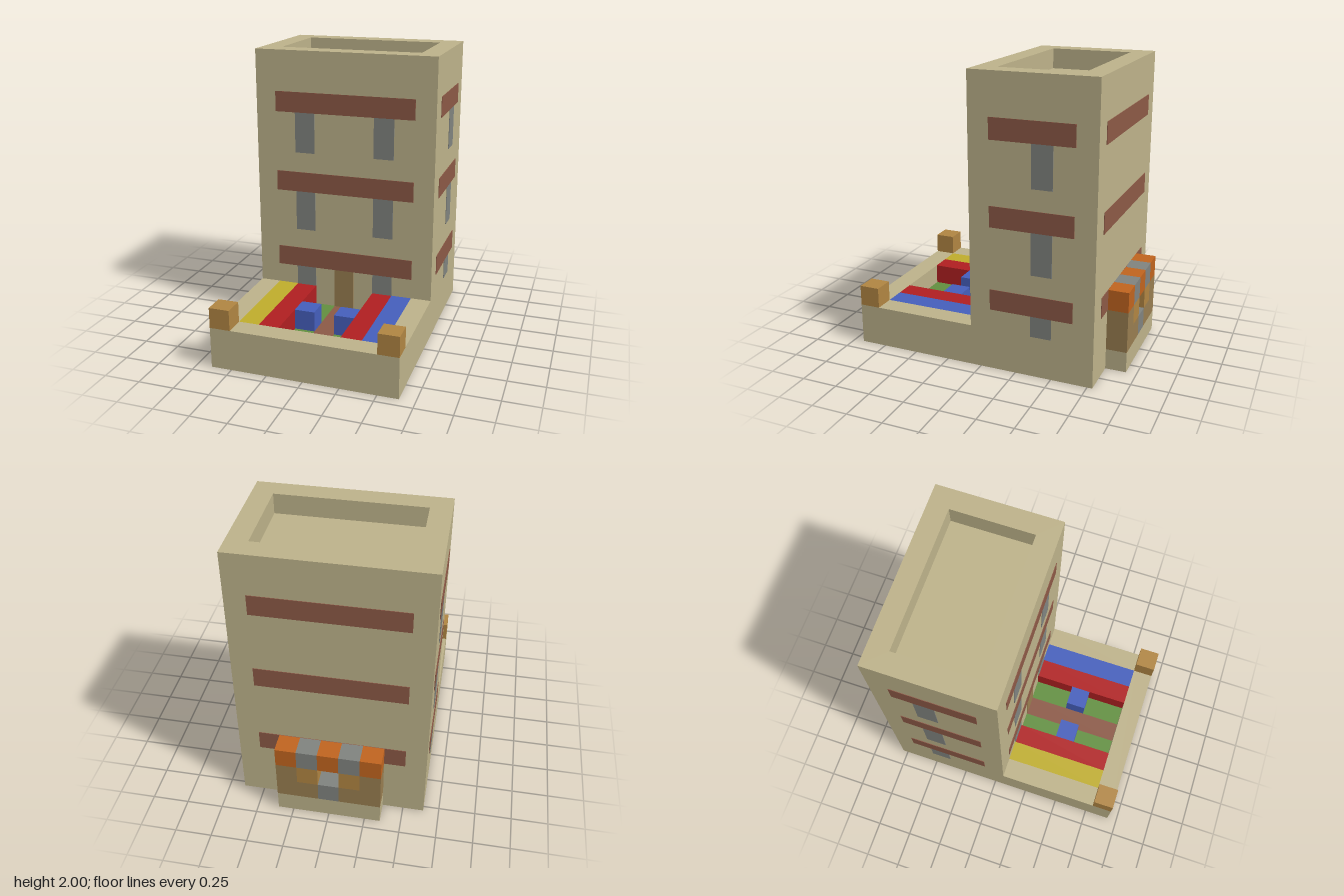
import * as THREE from 'three';

const U = 1 / 7; // one block
const T = 0.004; // thickness of painted plates

const mat = (name, color) => {
  const m = new THREE.MeshStandardMaterial({ color });
  m.name = name;
  return m;
};

export function createModel() {
  const stone = mat('sandstone', 0xbdb28a);
  const brick = mat('redBrown', 0x8c5946);
  const grey = mat('grey', 0x80837f);
  const orange = mat('orange', 0xc0641f);
  const wood = mat('wood', 0x987d50);
  const gold = mat('goldenWood', 0xb08542);
  const yellow = mat('yellow', 0xbfad2c);
  const red = mat('red', 0xb01f21);
  const blue = mat('blue', 0x455fbc);
  const green = mat('green', 0x628f40);

  const model = new THREE.Group();
  model.name = 'towerWithGarden';

  const group = (name) => {
    const g = new THREE.Group();
    g.name = name;
    model.add(g);
    return g;
  };

  // Box between two corners given in blocks: x from -4.5, y from 0, z from -6.5
  const block = (parent, name, material, [x0, y0, z0], [x1, y1, z1]) => {
    const m = new THREE.Mesh(
      new THREE.BoxGeometry((x1 - x0) * U, (y1 - y0) * U, (z1 - z0) * U), material);
    m.position.set(((x0 + x1) / 2) * U, ((y0 + y1) / 2) * U, ((z0 + z1) / 2) * U);
    m.name = name;
    parent.add(m);
    return m;
  };

  // Tower body and the raised rim around the roof
  const tower = group('tower');
  block(tower, 'towerBody', stone, [-4.5, 0, -5.5], [4.5, 13, 0.5]);
  const rim = new THREE.Shape();
  rim.moveTo(-4.5 * U, -0.5 * U).lineTo(4.5 * U, -0.5 * U)
    .lineTo(4.5 * U, 5.5 * U).lineTo(-4.5 * U, 5.5 * U).closePath();
  const gap = new THREE.Path();
  gap.moveTo(-3.5 * U, 0.5 * U).lineTo(-3.5 * U, 4.5 * U)
    .lineTo(3.5 * U, 4.5 * U).lineTo(3.5 * U, 0.5 * U).closePath();
  rim.holes.push(gap);
  const rimGeo = new THREE.ExtrudeGeometry(rim, { depth: U, bevelEnabled: false });
  rimGeo.rotateX(-Math.PI / 2).translate(0, 13 * U, 0);
  const rimMesh = new THREE.Mesh(rimGeo, stone);
  rimMesh.name = 'roofRim';
  tower.add(rimMesh);

  // Painted bands and windows on each storey
  const t = T / U;
  const paint = group('wallPaint');
  for (const [band, sill] of [[11, 9], [7, 5], [3, 2]]) {
    block(paint, 'frontBand', brick, [-3.5, band, 0.5], [3.5, band + 1, 0.5 + t]);
    block(paint, 'backBand', brick, [-3.5, band, -5.5 - t], [3.5, band + 1, -5.5]);
    for (const x of [-2.5, 1.5]) {
      block(paint, 'frontWindow', grey, [x, sill, 0.5], [x + 1, band, 0.5 + t]);
    }
    for (const [a, b] of [[4.5, 4.5 + t], [-4.5 - t, -4.5]]) {
      block(paint, 'sideBand', brick, [a, band, -4.5], [b, band + 1, -0.5]);
      block(paint, 'sideWindow', grey, [a, sill, -3.5], [b, band, -2.5]);
    }
  }
  block(paint, 'door', wood, [-0.5, 1, 0.5], [0.5, 3, 0.5 + t]);

  // Low wall around the garden with two corner posts
  const wall = group('gardenWall');
  block(wall, 'frontWall', stone, [-4.5, 0, 5.5], [4.5, 2, 6.5]);
  for (const x of [-4.5, 3.5]) {
    block(wall, 'sideWall', stone, [x, 0, 0.5], [x + 1, 2, 5.5]);
    block(wall, 'cornerPost', gold, [x, 2, 5.5], [x + 1, 3, 6.5]);
  }

  // Lawn, path and rows of flowers
  const garden = group('garden');
  block(garden, 'leftLawn', green, [0.5, 0, 0.5], [3.5, 1, 5.5]);
  block(garden, 'rightLawn', green, [-3.5, 0, 0.5], [-0.5, 1, 5.5]);
  block(garden, 'path', brick, [-0.5, 0, 0.5], [0.5, 1, 5.5]);
  for (const [x, m] of [[-3.5, yellow], [-2.5, red], [1.5, red], [2.5, blue]]) {
    block(garden, 'flowerRow', m, [x, 1, 0.5], [x + 1, 2, 5.5]);
  }
  for (const x of [-1.5, 0.5]) {
    block(garden, 'flowerBlock', blue, [x, 1, 2.5], [x + 1, 2, 3.5]);
  }

  // Stall at the back, laid in rows from the bottom; null leaves the opening
  const stall = group('backStall');
  block(stall, 'stallFoot', stone, [-2.5, 0, -6.5], [2.5, 1, -5.5]);
  const rows = [
    [wood, wood, grey, wood, wood],
    [wood, gold, null, gold, wood],
    [orange, grey, orange, grey, orange],
  ];
  rows.forEach((row, j) => row.forEach((m, i) => {
    if (m) block(stall, 'stallBlock', m, [i - 2.5, j + 1, -6.5], [i - 1.5, j + 2, -5.5]);
  }));

  return model;
}
